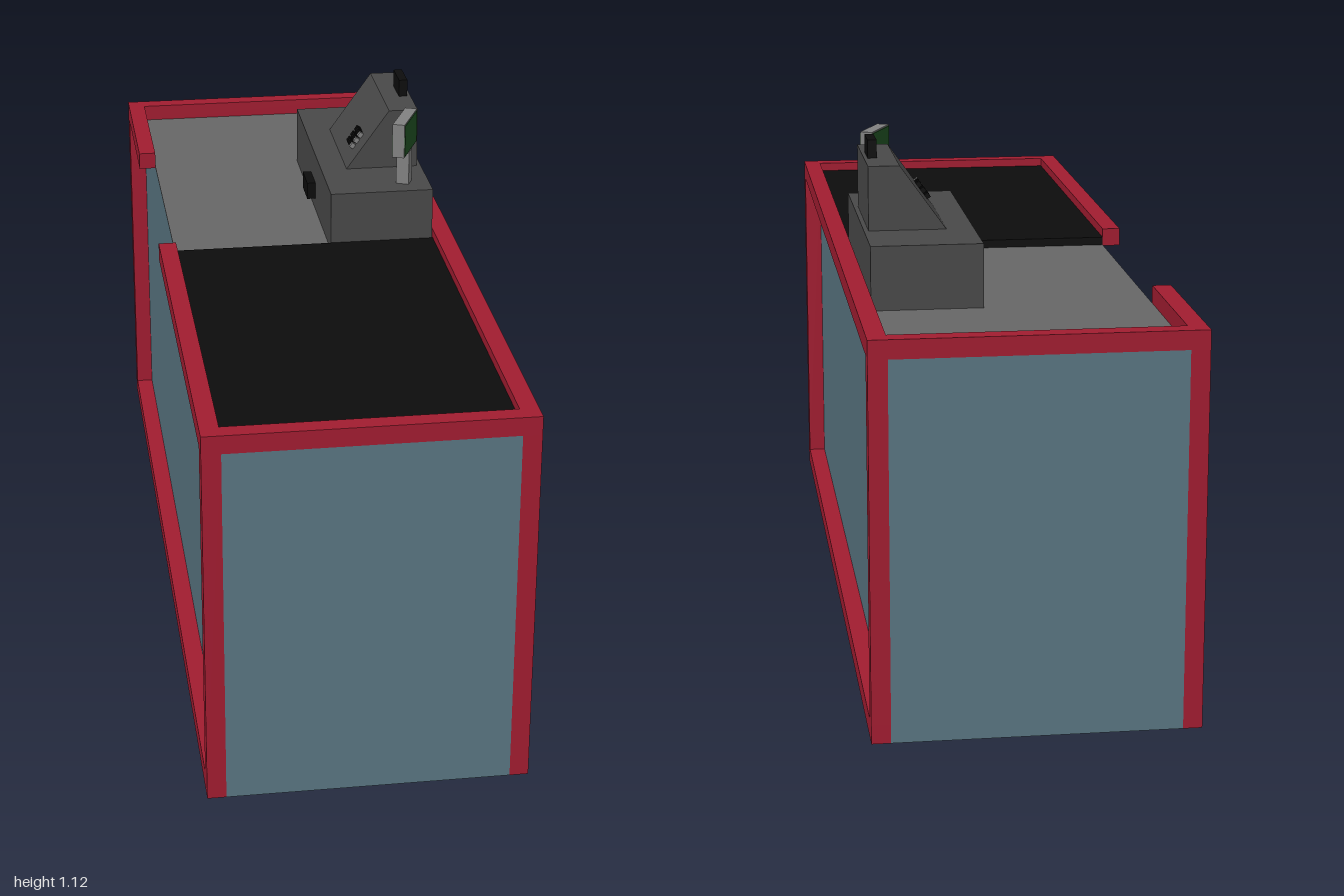
import * as THREE from 'three';

const mat = (color) => new THREE.MeshStandardMaterial({ color });

export function createModel() {
  const model = new THREE.Group();
  model.name = 'checkoutCounter';

  const red = mat(0xa01c30), teal = mat(0x587480), black = mat(0x0c0c0c);
  const topGrey = mat(0x666666), darkGrey = mat(0x484848), lightGrey = mat(0x808080), green = mat(0x1f4f22);

  // Box given by its minimum and maximum corners
  function box(name, material, [x0, y0, z0], [x1, y1, z1], parent = model) {
    const mesh = new THREE.Mesh(new THREE.BoxGeometry(x1 - x0, y1 - y0, z1 - z0), material);
    mesh.position.set((x0 + x1) / 2, (y0 + y1) / 2, (z0 + z1) / 2);
    mesh.name = name;
    parent.add(mesh);
    return mesh;
  }

  // Cabinet, worktop and conveyor belt
  box('cabinet', teal, [-0.3, 0, -1], [0.3, 0.8, 1]);
  box('worktop', topGrey, [-0.3, 0.8, -0.96], [0.3, 0.802, 0]);
  box('conveyorBelt', black, [-0.3, 0.8, 0], [0.3, 0.82, 0.96]);

  // Frame on both long sides
  for (const [side, x0, x1] of [['left', 0.3, 0.34], ['right', -0.34, -0.3]]) {
    box(side + 'BottomRail', red, [x0, 0, -1], [x1, 0.04, 1]);
    for (const [end, z0] of [['Front', 0.96], ['Back', -1]]) {
      box(side + end + 'Post', red, [x0, 0.04, z0], [x1, 0.8, z0 + 0.04]);
    }
  }

  // Top rim, open on the cashier's side
  box('leftTopRail', red, [0.3, 0.8, -1], [0.34, 0.84, 1]);
  box('rightFrontTopRail', red, [-0.34, 0.8, 0], [-0.3, 0.84, 1]);
  box('rightBackTopRail', red, [-0.34, 0.8, -1], [-0.3, 0.84, -0.6]);
  box('frontTopRail', red, [-0.3, 0.8, 0.96], [0.3, 0.84, 1]);
  box('backTopRail', red, [-0.3, 0.8, -1], [0.3, 0.84, -0.96]);

  // Cash register: drawer base and sloped housing
  const register = new THREE.Group();
  register.name = 'cashRegister';
  model.add(register);
  box('drawerBase', darkGrey, [0.06, 0.8, -0.6], [0.298, 0.94, 0], register);
  box('drawerHandle', black, [0.04, 0.83, -0.34], [0.06, 0.87, -0.26], register);

  const profile = new THREE.Shape([[0.12, 0.94], [0.288, 0.94], [0.288, 1.08], [0.22, 1.08]]
    .map(([x, y]) => new THREE.Vector2(x, y)));
  const housing = new THREE.Mesh(
    new THREE.ExtrudeGeometry(profile, { depth: 0.28, bevelEnabled: false }), darkGrey);
  housing.position.z = -0.44;
  housing.name = 'registerHousing';
  register.add(housing);
  box('receiptSlot', black, [0.26, 1.08, -0.34], [0.28, 1.12, -0.26], register);

  // Keypad lying on the slope: local x runs up it, local y points out
  const keypad = new THREE.Group();
  keypad.name = 'keypad';
  keypad.position.set(0.155, 0.989, -0.235);
  keypad.rotation.z = Math.atan2(0.14, 0.1);
  register.add(keypad);
  for (let row = -1; row <= 1; row++) {
    for (let col = -1; col <= 2; col++) {
      const x = row * 0.016, z = col * 0.014 - 0.007;
      box('key', col === 2 ? lightGrey : black,
        [x - 0.006, 0, z - 0.005], [x + 0.006, 0.01, z + 0.005], keypad);
    }
  }

  // Customer display, turned on its pole, with a screen on both faces
  const display = new THREE.Group();
  display.name = 'customerDisplay';
  display.position.set(0.24, 0, -0.06);
  display.rotation.y = -0.41;
  register.add(display);
  box('displayPole', lightGrey, [-0.015, 0.94, -0.015], [0.015, 1.02, 0.015], display);
  box('displayCase', lightGrey, [-0.014, 1.02, -0.06], [0.014, 1.1, 0.06], display);
  for (const s of [-1, 1]) {
    const screen = box('displayScreen', green, [-0.001, 1.023, -0.057], [0.001, 1.097, 0.057], display);
    screen.position.x = s * 0.0145;
  }

  return model;
}
